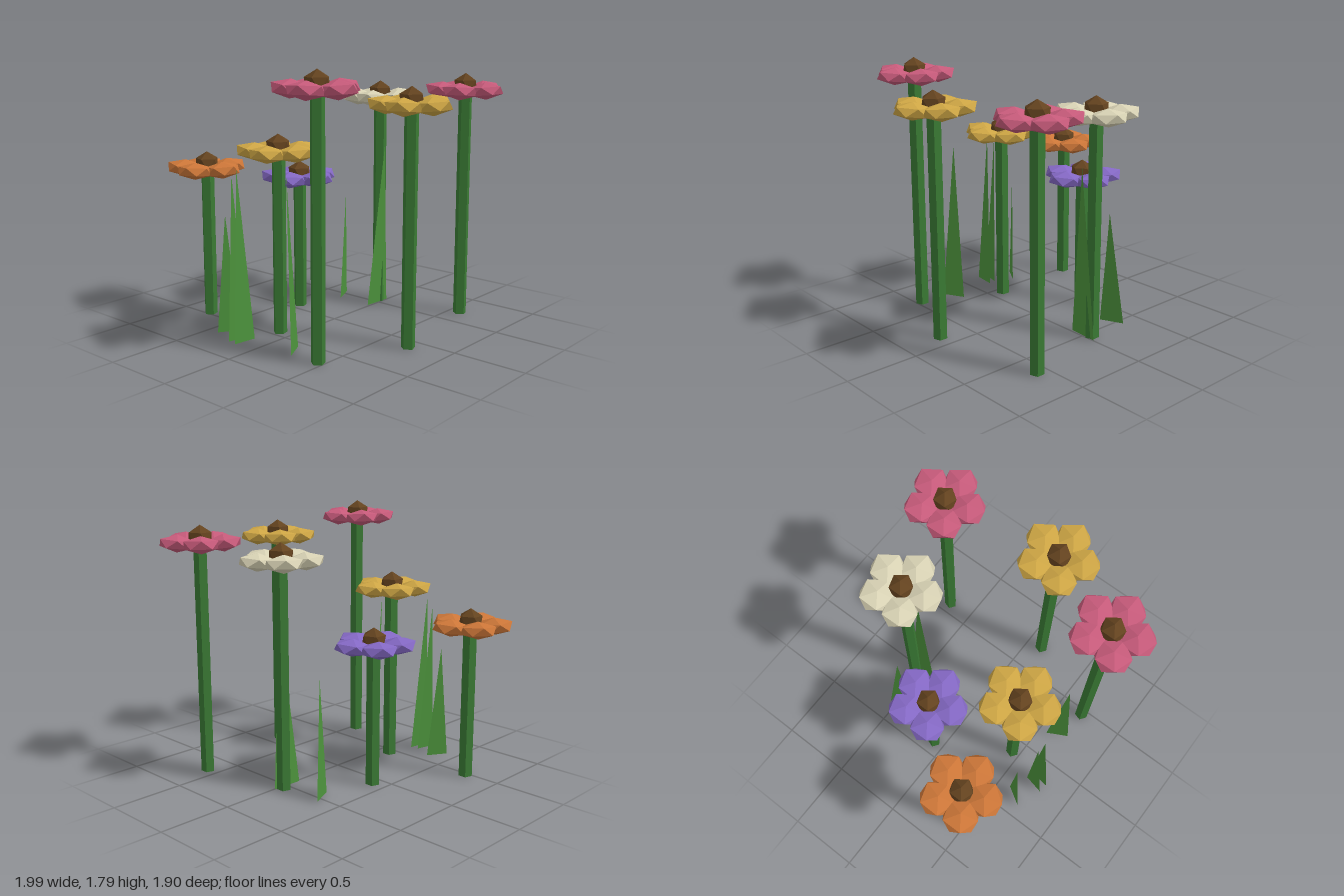
import * as THREE from 'three';

const mat = (name, color, extra = {}) => {
  const m = new THREE.MeshStandardMaterial({ color, flatShading: true, ...extra });
  m.name = name;
  return m;
};

// Icosahedron standing on a corner, so a vertex points straight up
function uprightIcosahedron(radius, sy) {
  const g = new THREE.IcosahedronGeometry(1, 0);
  g.rotateX(-Math.atan((1 + Math.sqrt(5)) / 2));
  g.rotateY(Math.PI / 2);
  g.scale(radius, sy, radius);
  return g;
}

export function createModel() {
  const model = new THREE.Group();
  model.name = 'flowerPatch';

  const stemMat = mat('stem green', 0x3a7a34);
  const bladeMat = mat('grass green', 0x4c923c, { side: THREE.DoubleSide });
  const coreMat = mat('seed brown', 0x64431f);
  const orange = mat('orange', 0xcc7638);
  const purple = mat('purple', 0x8468c4);
  const yellow = mat('yellow', 0xcda544);
  const cream = mat('cream', 0xd8d2b4);
  const pink = mat('pink', 0xc65a7a);

  // Petals are flattened lumps, lifted slightly at the outer end
  const petalGeo = uprightIcosahedron(0.13, 0.058);
  petalGeo.rotateZ(0.1);
  petalGeo.translate(0.157, 0, 0);
  const coreGeo = uprightIcosahedron(0.087, 0.087);

  function addFlower(x, y, z, petalMat) {
    const flower = new THREE.Group();
    flower.name = 'flower';
    flower.position.set(x, 0, z);

    const stem = new THREE.Mesh(new THREE.CylinderGeometry(0.047, 0.047, y, 5), stemMat);
    stem.name = 'stem';
    stem.position.y = y / 2;
    flower.add(stem);

    for (let i = 0; i < 5; i++) {
      const petal = new THREE.Mesh(petalGeo, petalMat);
      petal.name = 'petal';
      petal.position.y = y;
      petal.rotation.y = (i * Math.PI * 2) / 5;
      flower.add(petal);
    }

    const core = new THREE.Mesh(coreGeo, coreMat);
    core.name = 'flowerCentre';
    core.position.y = y + 0.028;
    flower.add(core);
    model.add(flower);
  }

  addFlower(-0.755, 1.05, 0.475, orange);
  addFlower(-0.4, 0.955, -0.08, purple);
  addFlower(-0.1, 1.225, 0.44, yellow);
  addFlower(-0.04, 1.515, -0.55, cream);
  addFlower(0.46, 1.672, 0.685, pink);
  addFlower(0.585, 1.587, -0.69, pink);
  addFlower(0.72, 1.553, 0.115, yellow);

  // Grass blades: two base corners (x, z) and a tip (x, y, z)
  const blades = [
    [[-0.35, -0.55], [-0.28, -0.395], [-0.285, 0.79, -0.46]],
    [[-0.41, 0.72], [-0.33, 0.59], [-0.385, 0.8, 0.655]],
    [[-0.225, 0.79], [-0.195, 0.65], [-0.255, 1.09, 0.71]],
    [[-0.16, 0.8], [-0.14, 0.64], [-0.198, 1.13, 0.72]],
    [[0.175, 0.56], [0.252, 0.705], [0.17, 1.13, 0.65]],
    [[-0.015, -0.39], [-0.005, -0.6], [0.035, 1.17, -0.51]],
  ];
  for (const [a, b, tip] of blades) {
    const g = new THREE.BufferGeometry();
    g.setAttribute('position', new THREE.Float32BufferAttribute([a[0], 0, a[1], b[0], 0, b[1], ...tip], 3));
    g.computeVertexNormals();
    const blade = new THREE.Mesh(g, bladeMat);
    blade.name = 'grassBlade';
    model.add(blade);
  }
  return model;
}
